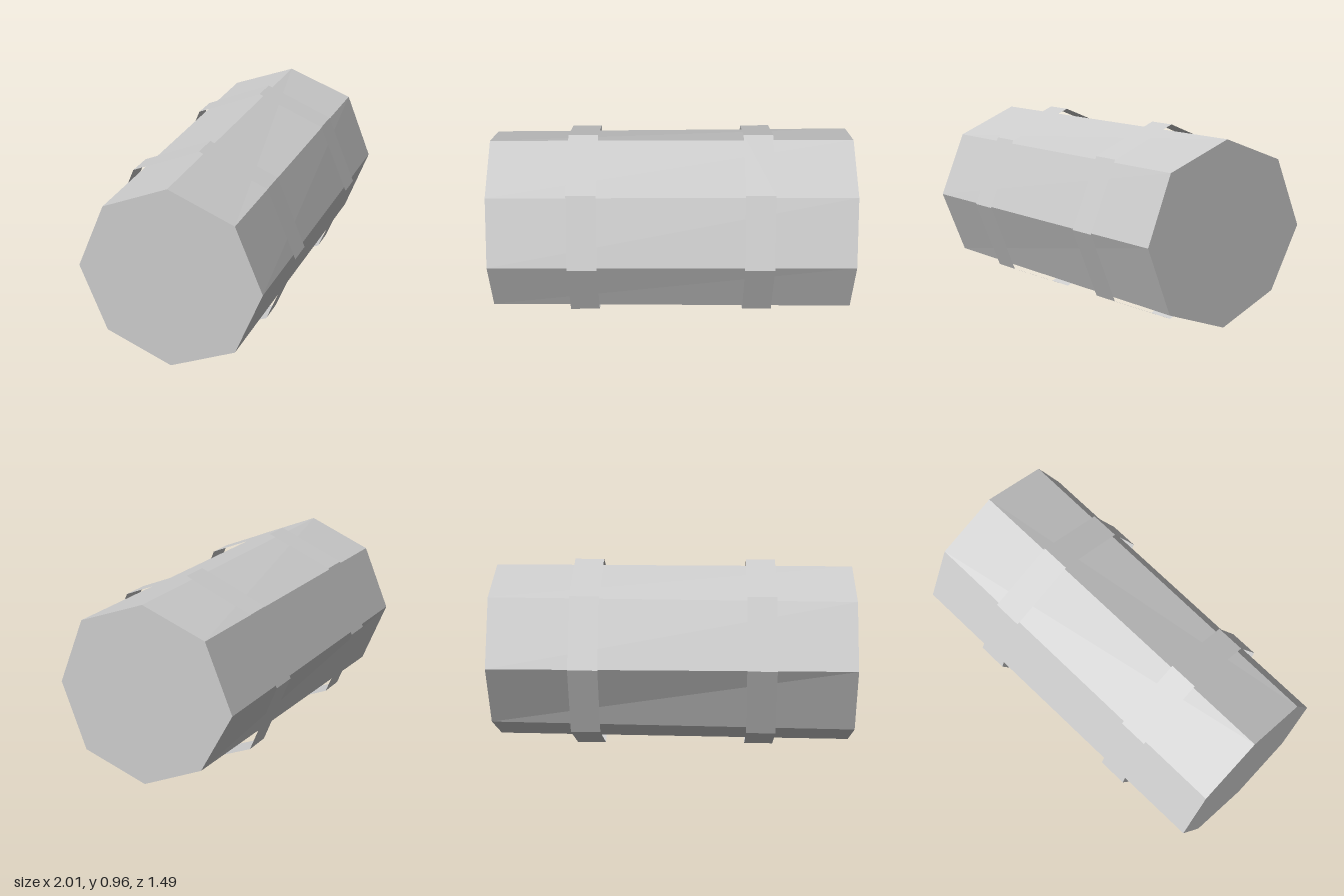
import * as THREE from 'three';

export function createModel() {
  const grey = new THREE.MeshStandardMaterial({ color: 0xcccccc, flatShading: true, side: THREE.DoubleSide });
  grey.name = 'pale grey';

  const model = new THREE.Group();
  model.name = 'bandedLog';
  // The log lies along local x and is turned about the vertical axis
  const log = new THREE.Group();
  log.name = 'log';
  log.position.y = 0.48;
  log.rotation.y = THREE.MathUtils.degToRad(20.5);
  model.add(log);

  const add = (name, geometry, parent = log) => {
    const mesh = new THREE.Mesh(geometry, grey);
    mesh.name = name;
    parent.add(mesh);
    return mesh;
  };

  // End sections as [z, y]: one regular octagon, one slightly uneven
  const plainEnd = Array.from({ length: 8 }, (_, i) => {
    const a = (i * Math.PI) / 4;
    return [0.453 * Math.cos(a), 0.45 * Math.sin(a) - 0.004];
  });
  const ringedEnd = [
    [0.46, 0], [0.333, 0.325], [0, 0.45], [-0.323, 0.33],
    [-0.46, 0], [-0.297, -0.3], [0.008, -0.435], [0.333, -0.325],
  ];
  const half = 0.9;

  // Eight long faces
  const sides = [], leftCap = [], rightCap = [];
  for (let i = 0; i < 8; i++) {
    const j = (i + 1) % 8;
    const point = (end, x, k) => [x, end[k][1], end[k][0]];
    const l0 = point(plainEnd, -half, i), l1 = point(plainEnd, -half, j);
    const r0 = point(ringedEnd, half, i), r1 = point(ringedEnd, half, j);
    sides.push(...l0, ...r0, ...r1, ...l0, ...r1, ...l1);
    leftCap.push(-half, 0, 0, ...l0, ...l1);
    rightCap.push(half, 0, 0, ...r1, ...r0);
  }
  const surface = (positions) => {
    const g = new THREE.BufferGeometry();
    g.setAttribute('position', new THREE.Float32BufferAttribute(positions, 3));
    g.computeVertexNormals();
    return g;
  };
  add('bark', surface(sides));
  add('plainEnd', surface(leftCap));
  add('cutEnd', surface(rightCap));

  // Growth rings laid flat on the cut end
  [0.328, 0.272, 0.097].forEach((radius, i) => {
    const ring = add('growthRing', new THREE.CircleGeometry(radius, 8).rotateY(Math.PI / 2));
    ring.position.x = half + 0.001 * (i + 1);
  });

  // Loose open straps around the log
  for (const x of [-0.437, 0.428]) {
    const strap = add('strap', new THREE.CylinderGeometry(0.48, 0.48, 0.146, 8, 1, true).rotateZ(Math.PI / 2));
    strap.position.x = x;
  }

  return model;
}
